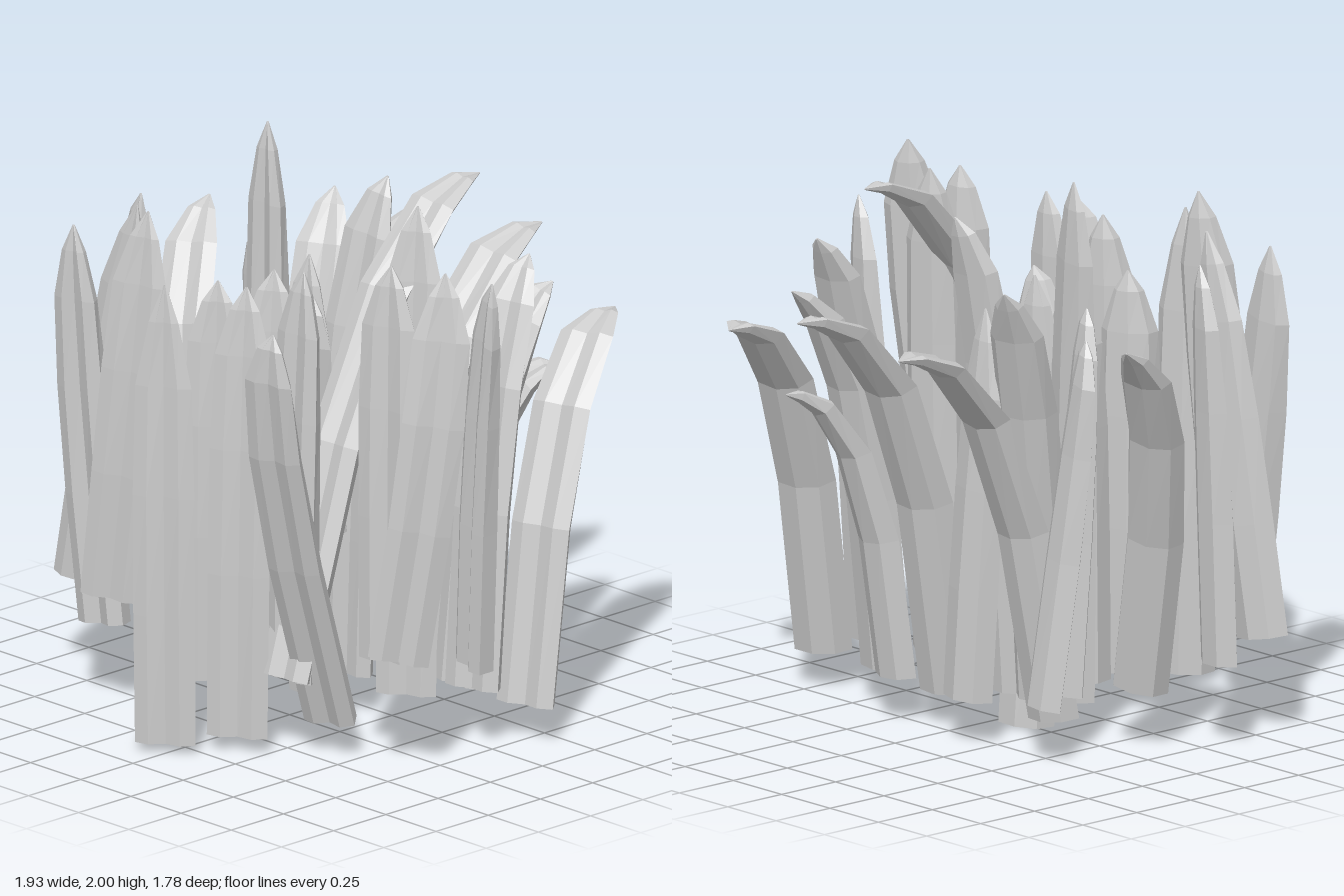
import * as THREE from 'three';

// Kidney-shaped blade cross-section (x, z): convex at the back, grooved in front
const SECTION = [
  [-0.1, 0.045], [-0.082, -0.02], [-0.015, -0.055], [0.065, -0.045],
  [0.1, 0.01], [0.055, 0.038], [0.0, 0.026], [-0.05, 0.054],
];
// Stations along the blade: [position, width, thickness]
const STATIONS = [
  [0, 1, 1], [0.28, 1.02, 1], [0.54, 1.03, 0.88], [0.78, 0.95, 0.65], [0.92, 0.5, 0.4], [1, 0.03, 0.05],
];
// Where the middle control point sits between root (0) and tip (1), per axis
const STRAIGHT = [0.5, 0.5, 0.5];
const BOWED = [0.37, 0.7, 0.37];
const ARCHED = [0.2, 1, 0.2];
const FORWARD = [0.6, 0.8, 1.15];

// Sweeps the section along a curve from root to tip
function bladeGeometry(root, tip, shape, yaw, width) {
  const mid = root.map((r, k) => r + (tip[k] - r) * shape[k]);
  const curve = new THREE.QuadraticBezierCurve3(
    new THREE.Vector3(...root), new THREE.Vector3(...mid), new THREE.Vector3(...tip),
  );
  const up = new THREE.Vector3(0, 1, 0);
  const turn = new THREE.Quaternion().setFromAxisAngle(up, yaw);
  const positions = [];
  const index = [];
  const n = SECTION.length;

  STATIONS.forEach(([t, w, d], ring) => {
    const centre = curve.getPoint(t);
    const tilt = new THREE.Quaternion().setFromUnitVectors(up, curve.getTangent(t));
    for (const [x, z] of SECTION) {
      const p = new THREE.Vector3(x * w * width, 0, z * d * width);
      p.applyQuaternion(turn).applyQuaternion(tilt).add(centre);
      positions.push(p.x, Math.max(0, p.y), p.z);
    }
    if (ring === 0) return;
    for (let i = 0; i < n; i++) {
      const p = (ring - 1) * n + i;
      const q = (ring - 1) * n + ((i + 1) % n);
      index.push(p, p + n, q, q, p + n, q + n);
    }
  });

  // Cut end at the root and the tiny cap at the tip
  const last = (STATIONS.length - 1) * n;
  for (let k = 1; k < n - 1; k++) {
    const i = (2 + k) % n;
    const j = (3 + k) % n;
    index.push(2, i, j, last + 2, last + j, last + i);
  }
  const geometry = new THREE.BufferGeometry();
  geometry.setAttribute('position', new THREE.Float32BufferAttribute(positions, 3));
  geometry.setIndex(index);
  geometry.computeVertexNormals();
  return geometry;
}

// Each blade: root, tip, shape, yaw, width
const UPRIGHT = [
  [[-0.02, 0.03, 0.81], [-0.04, 1.69, 0.81], STRAIGHT, 0.4, 1.06],
  [[0.14, 0.05, 0.62], [0.13, 1.67, 0.58], BOWED, 0.4, 1.06],
  [[-0.18, 0.13, 0.42], [-0.2, 1.57, 0.4], BOWED, 0.45, 1.06],
  [[-0.15, 0.13, 0.21], [-0.17, 1.56, 0.16], BOWED, 0.45, 1.06],
  [[-0.1, 0.0, 0.0], [-0.12, 1.6, 0.04], [0.5, 0.6, 1.8], 0.1, 1.06],
  [[-0.3, 0.13, 0.04], [-0.4, 2.0, -0.03], BOWED, -0.3, 1.05],
  [[0.3, 0.27, 0.51], [0.3, 1.74, 0.47], BOWED, -0.1, 1],
  [[0.43, 0.15, 0.09], [0.38, 1.89, 0.0], BOWED, 0.4, 1.05],
  [[0.62, 0.38, 0.35], [0.59, 1.8, 0.33], BOWED, 0.15, 1.1],
  [[0.72, 0.31, 0.05], [0.78, 1.71, 0.03], BOWED, -0.55, 1.05],
  [[-0.79, 0.31, 0.29], [-0.74, 1.72, 0.25], BOWED, -0.55, 1.05],
  [[-0.15, 0.16, -0.31], [-0.2, 1.55, -0.26], STRAIGHT, -0.2, 1.05],
  [[0.13, 0.15, 0.08], [0.17, 1.5, 0.05], BOWED, 0.1, 0.95],
];
const LEANING = [
  [[0.77, 0.44, 0.46], [0.86, 1.84, 0.33], [1.5, 0.65, 0.6], 0.55, 1.05],
  [[-0.43, 0.43, 0.68], [-0.33, 1.84, 0.61], [0.8, 0.6, 0.4], 0.3, 1.05],
  [[-0.5, 0.31, 0.64], [-0.68, 1.71, 0.63], [0.7, 0.6, 0.5], -0.15, 1.08],
  [[-0.78, 0.36, 0.49], [-0.55, 1.77, 0.45], STRAIGHT, -0.1, 1.05],
  [[0.41, 0.13, 0.43], [0.46, 1.62, 0.77], FORWARD, 0.1, 1],
  [[-0.01, 0.13, -0.03], [0.12, 1.55, 0.25], FORWARD, 0.2, 1.02],
  [[-0.53, 0.2, -0.29], [-0.62, 1.5, -0.17], FORWARD, -0.6, 1.02],
  [[-0.43, 0.2, -0.1], [-0.49, 1.57, -0.05], FORWARD, -0.6, 1.05],
];
const ARCHING = [
  [[-0.59, 0.21, 0.09], [-0.95, 1.54, -0.28], [0.62, 0.85, 0.05], 0.25, 1.02],
  [[-0.38, 0.1, -0.12], [-0.42, 1.51, -0.86], [-1.9, 1, 0.2], -0.05, 1.02],
  [[0.09, 0.12, -0.19], [0.08, 1.55, -0.88], ARCHED, 0, 1.1],
  [[0.76, 0.13, -0.17], [0.59, 1.4, -0.74], [0.1, 1.02, 0.22], 0.15, 1.08],
  [[0.25, 0.16, -0.28], [0.43, 1.18, -0.62], ARCHED, -0.4, 1.02],
  [[0.44, 0.13, -0.16], [0.5, 1.52, -0.53], [0.2, 0.9, 0.2], -0.1, 1.04],
  [[0.61, 0.18, -0.06], [0.55, 1.67, -0.37], [0.25, 0.85, 0.25], 0.1, 1.04],
  [[-0.27, 0.14, -0.06], [-0.44, 1.67, -0.39], [0.3, 0.8, 0.3], 0.4, 1.02],
  [[-0.09, 0.13, -0.04], [-0.03, 1.84, -0.25], [0.25, 0.8, 0.25], 0, 1.06],
  [[0.31, 0.28, 0.55], [0.29, 1.9, -0.38], [0.4, 1.02, 0.46], 0, 1],
];

export function createModel() {
  const model = new THREE.Group();
  model.name = 'grassClump';
  const material = new THREE.MeshStandardMaterial({
    color: 0xcccccc, flatShading: true, side: THREE.DoubleSide,
  });
  const kinds = { uprightBlade: UPRIGHT, leaningBlade: LEANING, archingBlade: ARCHING };
  for (const [name, blades] of Object.entries(kinds)) {
    const group = new THREE.Group();
    group.name = name + 's';
    blades.forEach((blade, i) => {
      const mesh = new THREE.Mesh(bladeGeometry(...blade), material);
      mesh.name = name + (i + 1);
      group.add(mesh);
    });
    model.add(group);
  }
  return model;
}
